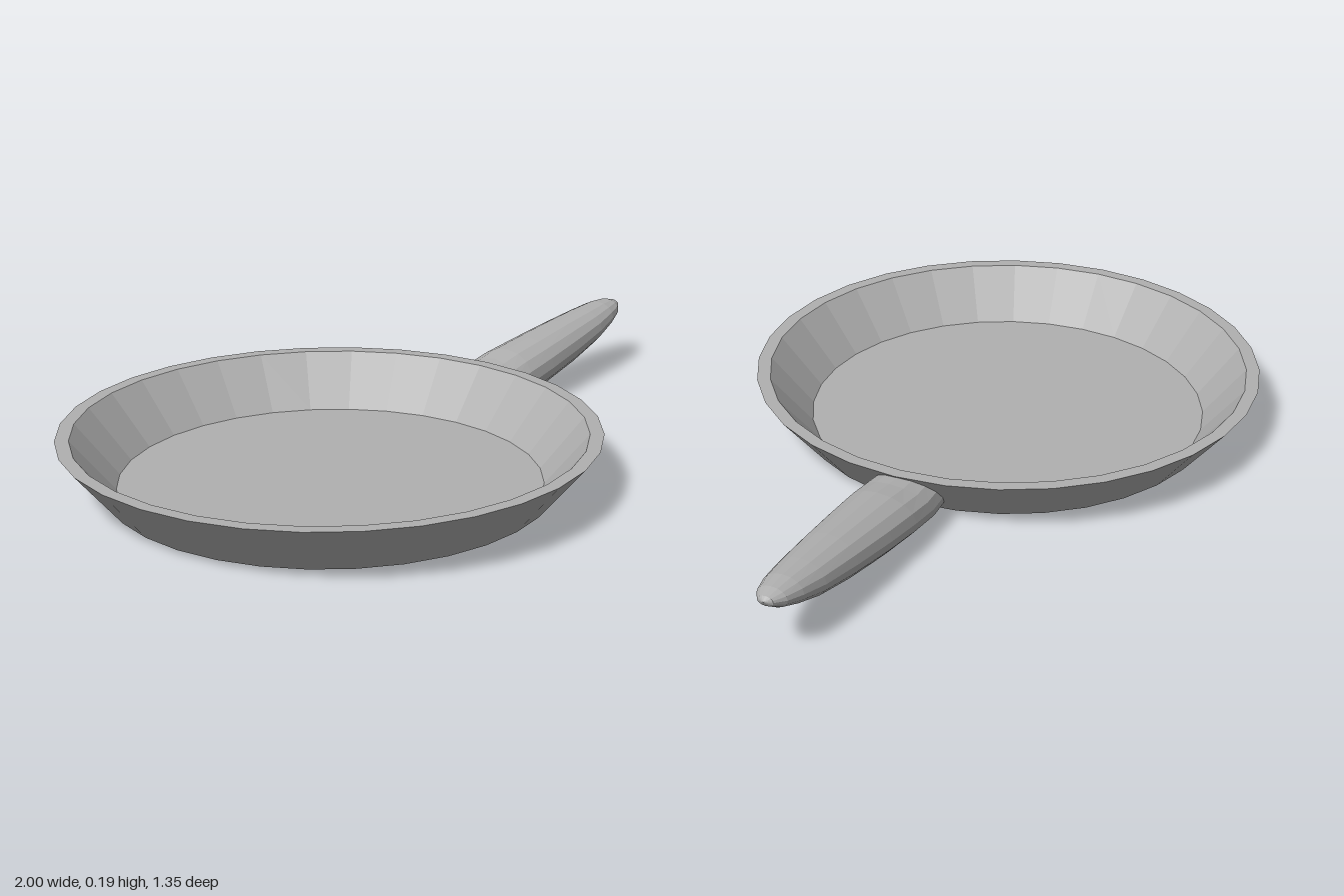
import * as THREE from 'three';

const metal = new THREE.MeshStandardMaterial({ color: 0xb0b0b0, flatShading: true });
metal.name = 'grey metal';

// Faceted mesh with one normal per face
function facetedMesh(geometry, name) {
  const flat = geometry.index ? geometry.toNonIndexed() : geometry;
  flat.computeVertexNormals();
  const mesh = new THREE.Mesh(flat, metal);
  mesh.name = name;
  return mesh;
}

// Loft of elliptical rings along x: [x, centre y, half height, half width, slant]
function loft(rings, sides, zCentre) {
  const positions = [];
  const index = [];
  for (const [x, y, ry, rz, slant] of rings) {
    for (let j = 0; j < sides; j++) {
      const a = (j / sides) * Math.PI * 2;
      const dy = Math.cos(a) * ry;
      positions.push(x + slant * dy, y + dy, zCentre + Math.sin(a) * rz);
    }
  }
  for (let i = 0; i < rings.length - 1; i++) {
    for (let j = 0; j < sides; j++) {
      const a = i * sides + j;
      const b = i * sides + ((j + 1) % sides);
      index.push(a, b, a + sides, b, b + sides, a + sides);
    }
  }
  const geometry = new THREE.BufferGeometry();
  geometry.setAttribute('position', new THREE.Float32BufferAttribute(positions, 3));
  geometry.setIndex(index);
  return geometry;
}

export function createModel() {
  const model = new THREE.Group();
  model.name = 'fryingPan';

  // Sloped dish with a flat rim and a thin floor
  const profile = [
    [0, 0.01], [0.56, 0.01], [0.675, 0.147],
    [0.64, 0.147], [0.53, 0.016], [0, 0.016],
  ].map(([r, y]) => new THREE.Vector2(r, y));
  const dish = facetedMesh(new THREE.LatheGeometry(profile, 32), 'dish');
  dish.position.x = -0.325;
  model.add(dish);

  // Tapered handle, its root slanted to sit inside the wall of the dish
  const handle = facetedMesh(loft([
    [0.275, 0.074, 0.068, 0.092, 0.84],
    [0.34, 0.074, 0.073, 0.097, 0.65],
    [0.43, 0.084, 0.073, 0.096, 0.3],
    [0.55, 0.097, 0.069, 0.09, 0.1],
    [0.70, 0.115, 0.062, 0.079, 0],
    [0.83, 0.133, 0.051, 0.067, 0],
    [0.91, 0.148, 0.039, 0.054, 0],
    [0.96, 0.157, 0.027, 0.04, 0],
    [0.99, 0.163, 0.013, 0.021, 0],
    [1.0, 0.165, 0.0005, 0.0005, 0],
  ], 16, -0.006), 'handle');
  model.add(handle);

  return model;
}
